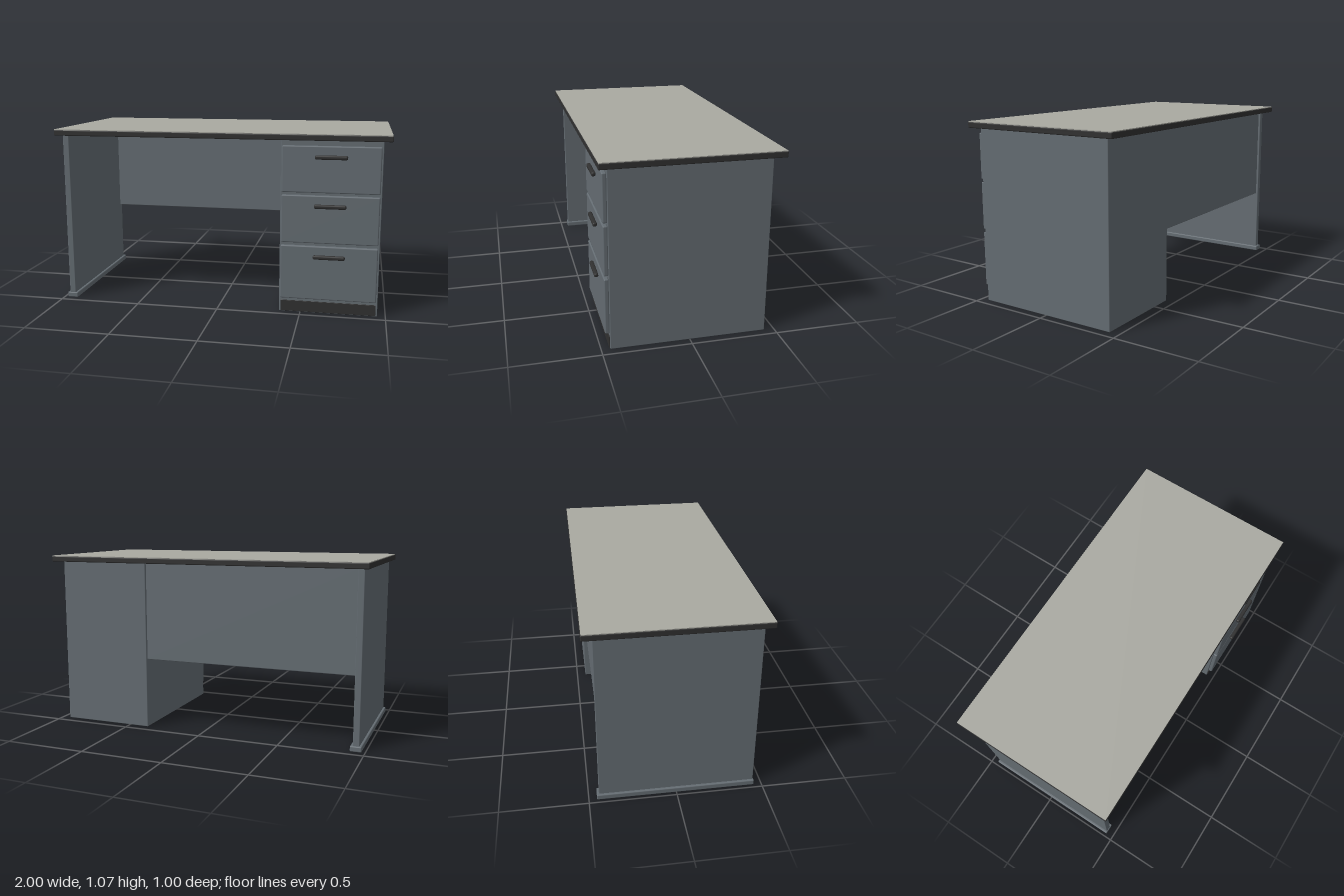
import * as THREE from 'three';
import { RoundedBoxGeometry } from 'three/addons/geometries/RoundedBoxGeometry.js';

const steel = new THREE.MeshStandardMaterial({ name: 'slate steel', color: 0x646c72 });
const trim = new THREE.MeshStandardMaterial({ name: 'black trim', color: 0x303030 });
const laminate = new THREE.MeshStandardMaterial({ name: 'warm grey laminate', color: 0xa9a9a1 });

export function createModel() {
  const desk = new THREE.Group();
  desk.name = 'desk';

  // Softly bevelled box given by its extents on each axis
  function block(name, material, [x0, x1], [y0, y1], [z0, z1], bevel = 0.004) {
    const size = [x1 - x0, y1 - y0, z1 - z0];
    const geometry = bevel > 0
      ? new RoundedBoxGeometry(...size, 2, bevel)
      : new THREE.BoxGeometry(...size);
    const mesh = new THREE.Mesh(geometry, material);
    mesh.name = name;
    mesh.position.set((x0 + x1) / 2, (y0 + y1) / 2, (z0 + z1) / 2);
    desk.add(mesh);
  }

  // Worktop: dark edged slab with a thin laminate sheet
  block('topSlab', trim, [-1, 1], [1.032, 1.066], [-0.5, 0.5], 0.006);
  block('topSurface', laminate, [-0.997, 0.997], [1.062, 1.07], [-0.497, 0.497], 0);

  // Drawer pedestal with its kick plate
  block('pedestal', steel, [0.372, 0.952], [0, 1.034], [-0.442, 0.45]);
  block('kickPlate', trim, [0.382, 0.942], [0.004, 0.07], [0.44, 0.455], 0.002);

  // Drawer fronts, each with a rounded bar handle
  const drawers = [[0.73, 1.0, 0.937], [0.432, 0.714, 0.653], [0.09, 0.414, 0.352]];
  for (const [bottom, top, handleY] of drawers) {
    block('drawerFront', steel, [0.38, 0.942], [bottom, top], [0.449, 0.475], 0.007);
    block('drawerHandle', trim, [0.57, 0.755], [handleY - 0.012, handleY + 0.012], [0.474, 0.498], 0.009);
  }

  // Side panel leg and its foot rail
  block('sideLeg', steel, [-0.966, -0.928], [0.01, 1.034], [-0.442, 0.45]);
  block('footRail', steel, [-0.98, -0.913], [0, 0.032], [-0.454, 0.455], 0.006);

  // Modesty panel across the back of the knee space
  block('modestyPanel', steel, [-0.932, 0.376], [0.433, 1.034], [-0.428, -0.406]);

  return desk;
}
